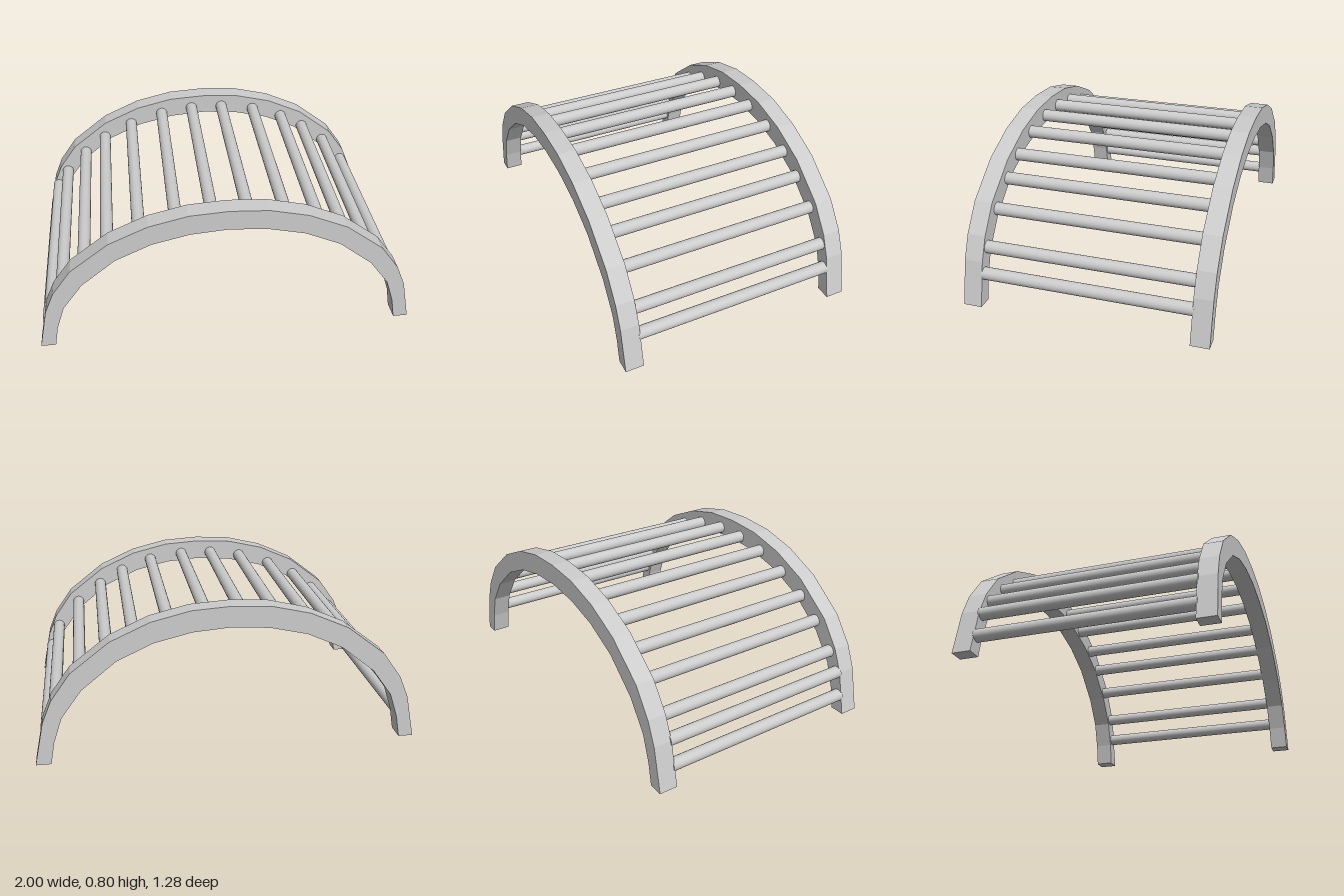
import * as THREE from 'three';

export function createModel() {
  const group = new THREE.Group();
  const frameMaterial = new THREE.MeshStandardMaterial({ color: 0xcccccc, flatShading: true });
  const barMaterial = new THREE.MeshStandardMaterial({ color: 0xcccccc });

  // Half profiles of the arch, from foot to crown
  const outer = [[1, 0], [0.95, 0.235], [0.9, 0.355], [0.8, 0.495], [0.6, 0.65], [0.4, 0.74], [0.2, 0.788], [0, 0.8]];
  const inner = [[0.922, 0], [0.9, 0.12], [0.855, 0.255], [0.75, 0.4], [0.572, 0.545], [0.386, 0.63], [0.195, 0.675], [0, 0.69]];
  const fullArch = half => [...half, ...half.slice(0, -1).reverse().map(([x, y]) => [-x, y])];
  const outline = [...fullArch(outer), ...fullArch(inner).reverse()];

  // Two side arches
  const shape = new THREE.Shape(outline.map(([x, y]) => new THREE.Vector2(x, y)));
  const archGeometry = new THREE.ExtrudeGeometry(shape, { depth: 0.097, bevelEnabled: false });
  archGeometry.translate(0, 0, -0.0485);
  for (const [name, side] of [['frontArch', 1], ['backArch', -1]]) {
    const arch = new THREE.Mesh(archGeometry, frameMaterial);
    arch.name = name;
    arch.position.z = side * 0.5925;
    group.add(arch);
  }

  // Climbing rungs that follow the curve, slightly sunk into both arches
  const rungs = [
    [-0.952, 0.098], [-0.925, 0.228], [-0.858, 0.327], [-0.735, 0.457], [-0.61, 0.557],
    [-0.445, 0.638], [-0.257, 0.698], [-0.075, 0.724], [0.107, 0.724], [0.3, 0.696],
    [0.477, 0.633], [0.615, 0.553], [0.755, 0.443], [0.885, 0.29], [0.935, 0.163],
  ];
  const rungGeometry = new THREE.CylinderGeometry(0.033, 0.033, 1.1, 24);
  rungGeometry.rotateX(Math.PI / 2);
  rungs.forEach(([x, y], i) => {
    const rung = new THREE.Mesh(rungGeometry, barMaterial);
    rung.name = `rung${i + 1}`;
    rung.position.set(x, y, 0);
    group.add(rung);
  });

  return group;
}
